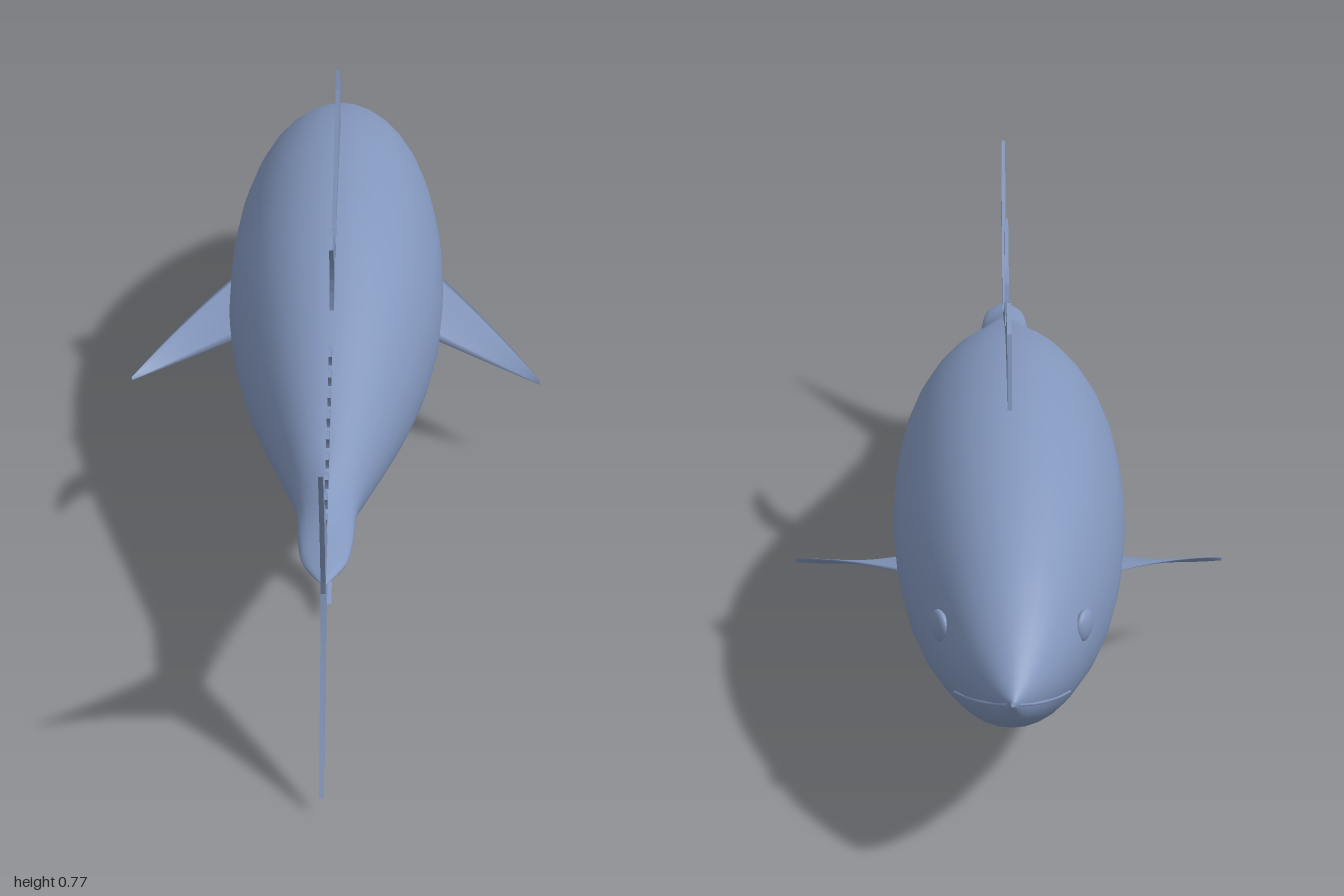
import * as THREE from 'three';

const skin = new THREE.MeshStandardMaterial({ color: 0x8296bc, side: THREE.DoubleSide });
skin.name = 'blue grey skin';

// Body stations: z, back height, belly height, half width, height of widest line
const stations = [
  [-1, 0.342, 0.332, 0.004, 0.337], [-0.975, 0.366, 0.296, 0.03, 0.336], [-0.93, 0.4, 0.261, 0.06, 0.335],
  [-0.875, 0.436, 0.228, 0.09, 0.335], [-0.78, 0.487, 0.177, 0.126, 0.335], [-0.6, 0.56, 0.108, 0.176, 0.335],
  [-0.42, 0.6, 0.063, 0.202, 0.335], [-0.25, 0.608, 0.05, 0.21, 0.335], [-0.05, 0.592, 0.07, 0.201, 0.335],
  [0.15, 0.542, 0.125, 0.167, 0.335], [0.35, 0.473, 0.197, 0.118, 0.336], [0.5, 0.423, 0.247, 0.076, 0.338],
  [0.6, 0.394, 0.279, 0.053, 0.339], [0.7, 0.37, 0.31, 0.047, 0.34], [0.77, 0.357, 0.322, 0.036, 0.34],
  [0.83, 0.343, 0.337, 0.004, 0.34],
];

// Smoothly interpolated station at a given z
function section(z) {
  let i = 0;
  while (i < stations.length - 2 && z > stations[i + 1][0]) i++;
  const at = (k) => stations[Math.min(Math.max(k, 0), stations.length - 1)];
  const [a, b, c, d] = [at(i - 1), at(i), at(i + 1), at(i + 2)];
  const h = c[0] - b[0], t = THREE.MathUtils.clamp((z - b[0]) / h, 0, 1);
  return [1, 2, 3, 4].map((k) => {
    const m0 = (c[k] - a[k]) / (c[0] - a[0]) * h, m1 = (d[k] - b[k]) / (d[0] - b[0]) * h;
    const t2 = t * t, t3 = t2 * t;
    return (2 * t3 - 3 * t2 + 1) * b[k] + (t3 - 2 * t2 + t) * m0 + (3 * t2 - 2 * t3) * c[k] + (t3 - t2) * m1;
  });
}

// Point on the body; the section sharpens into side keels near the tail
function bodyPoint(z, angle) {
  const [top, bottom, width, mid] = section(z);
  const c = Math.cos(angle), s = Math.sin(angle);
  const keel = 1 + 1.2 * THREE.MathUtils.smoothstep(z, 0.5, 0.7);
  const x = width * Math.sign(c) * Math.pow(Math.abs(c), keel);
  return new THREE.Vector3(x, mid + s * (s > 0 ? top - mid : mid - bottom), z);
}

// Surface point of one side at a given height
function sidePoint(z, y, side) {
  const [top, bottom, , mid] = section(z);
  const s = THREE.MathUtils.clamp((y - mid) / (y > mid ? top - mid : mid - bottom), -1, 1);
  const p = bodyPoint(z, Math.asin(s));
  p.x *= side;
  return p;
}

function bodyGeometry() {
  const rings = 80, sides = 32, pos = [], index = [];
  for (let i = 0; i <= rings; i++) {
    const t = i / rings;
    const z = -1 + 1.83 * (0.6 * t + 0.4 * t * t * (3 - 2 * t));
    for (let j = 0; j < sides; j++) pos.push(...bodyPoint(z, j / sides * Math.PI * 2).toArray());
  }
  for (let i = 0; i < rings; i++) {
    for (let j = 0; j < sides; j++) {
      const a = i * sides + j, b = i * sides + (j + 1) % sides;
      index.push(a, b, a + sides, b, b + sides, a + sides);
    }
  }
  const g = new THREE.BufferGeometry();
  g.setAttribute('position', new THREE.Float32BufferAttribute(pos, 3));
  g.setIndex(index);
  g.computeVertexNormals();
  return g;
}

// Upright fin drawn as a (z, y) outline
function finGeometry(shape, thickness = 0.008) {
  const g = new THREE.ExtrudeGeometry(shape, { depth: thickness, bevelEnabled: false, curveSegments: 10 });
  return g.translate(0, 0, -thickness / 2).rotateY(-Math.PI / 2);
}

// Thin lens-shaped blade between a leading and a trailing edge curve
function bladeGeometry(lead, trail, thickness) {
  const n = 14, m = 10, pos = [], index = [];
  const normal = new THREE.Vector3().subVectors(lead.getPoint(1), lead.getPoint(0))
    .cross(new THREE.Vector3().subVectors(trail.getPoint(0), lead.getPoint(0))).normalize();
  for (let i = 0; i <= n; i++) {
    const a = lead.getPoint(i / n), b = trail.getPoint(i / n);
    for (let j = 0; j < m; j++) {
      const q = j / m * Math.PI * 2;
      const p = a.clone().lerp(b, (1 - Math.cos(q)) / 2);
      p.addScaledVector(normal, Math.sin(q) * thickness * (1 - 0.8 * i / n));
      pos.push(...p.toArray());
    }
  }
  for (let i = 0; i < n; i++) {
    for (let j = 0; j < m; j++) {
      const a = i * m + j, b = i * m + (j + 1) % m;
      index.push(a, a + m, b, b, a + m, b + m);
    }
  }
  const g = new THREE.BufferGeometry();
  g.setAttribute('position', new THREE.Float32BufferAttribute(pos, 3));
  g.setIndex(index);
  g.computeVertexNormals();
  return g;
}

const curve = (side, ...pts) => new THREE.QuadraticBezierCurve3(
  ...pts.map(([x, y, z]) => new THREE.Vector3(x * side, y, z)));

export function createModel() {
  const model = new THREE.Group();
  model.name = 'fish';
  const add = (name, geometry) => {
    const mesh = new THREE.Mesh(geometry, skin);
    mesh.name = name;
    model.add(mesh);
    return mesh;
  };

  add('body', bodyGeometry());

  // Forked tail
  const tail = new THREE.Shape();
  tail.moveTo(0.7, 0.345);
  tail.lineTo(0.74, 0.385);
  tail.quadraticCurveTo(0.87, 0.5, 1, 0.655);
  tail.quadraticCurveTo(0.89, 0.47, 0.86, 0.342);
  tail.quadraticCurveTo(0.89, 0.22, 1, 0.03);
  tail.quadraticCurveTo(0.85, 0.17, 0.74, 0.3);
  add('tailFin', finGeometry(tail));

  // First dorsal fin with a notched rear edge
  const dorsal = new THREE.Shape();
  dorsal.moveTo(-0.4, 0.57);
  dorsal.lineTo(-0.415, 0.6);
  dorsal.quadraticCurveTo(-0.395, 0.66, -0.37, 0.725);
  dorsal.lineTo(-0.32, 0.765);
  const notches = 11;
  for (let i = 1; i <= notches; i++) {
    const t = i / notches, z = -0.32 + 0.4 * t;
    const y = 0.755 - 0.17 * Math.pow(t, 0.85);
    dorsal.lineTo(z - 0.022, y - 0.008);
    dorsal.lineTo(z, y + 0.004);
  }
  dorsal.lineTo(0.08, 0.55);
  add('firstDorsalFin', finGeometry(dorsal));

  // Sickle-shaped second dorsal and anal fins
  const second = new THREE.Shape();
  second.moveTo(0.12, 0.52);
  second.bezierCurveTo(0.13, 0.67, 0.22, 0.72, 0.325, 0.703);
  second.bezierCurveTo(0.24, 0.67, 0.195, 0.62, 0.215, 0.49);
  add('secondDorsalFin', finGeometry(second));

  const anal = new THREE.Shape();
  anal.moveTo(0.245, 0.19);
  anal.bezierCurveTo(0.26, 0.06, 0.33, 0.015, 0.435, 0.033);
  anal.bezierCurveTo(0.35, 0.065, 0.325, 0.11, 0.335, 0.22);
  add('analFin', finGeometry(anal));

  // Rows of finlets along back and belly
  for (const [name, up, start, count] of [['upperFinlet', 1, 0.3, 9], ['lowerFinlet', -1, 0.36, 8]]) {
    for (let i = 0; i < count; i++) {
      const z = start + i * 0.046, size = 1 - 0.045 * i;
      const edge = (at) => section(at)[up > 0 ? 0 : 1];
      const s = new THREE.Shape();
      s.moveTo(z, edge(z) - up * 0.008);
      s.quadraticCurveTo(z + 0.02, edge(z) + up * 0.034 * size, z + 0.07 * size, edge(z) + up * 0.024 * size);
      s.quadraticCurveTo(z + 0.035, edge(z) + up * 0.012, z + 0.035, edge(z + 0.035) - up * 0.008);
      add(name, finGeometry(s, 0.006));
    }
  }

  for (const side of [1, -1]) {
    const label = side > 0 ? 'left' : 'right';
    // Pectoral and pelvic fins
    add(label + 'PectoralFin', bladeGeometry(
      curve(side, [0.185, 0.288, -0.415], [0.3, 0.25, -0.27], [0.404, 0.182, -0.13]),
      curve(side, [0.18, 0.232, -0.22], [0.29, 0.195, -0.19], [0.402, 0.175, -0.13]), 0.006));
    add(label + 'PelvicFin', bladeGeometry(
      curve(side, [0.045, 0.075, -0.36], [0.06, 0.04, -0.31], [0.085, 0, -0.23]),
      curve(side, [0.045, 0.07, -0.26], [0.06, 0.035, -0.26], [0.084, 0, -0.228]), 0.004));

    // Eye set nearly flush into the head
    const eye = add(label + 'Eye', new THREE.SphereGeometry(0.028, 20, 14));
    eye.position.copy(sidePoint(-0.79, 0.372, side));
    eye.scale.x = 0.4;
    eye.rotation.y = side * 0.45;

    // Lip line
    const lip = [[-0.995, 0.334], [-0.96, 0.318], [-0.92, 0.302], [-0.87, 0.284], [-0.83, 0.27]]
      .map(([z, y]) => sidePoint(z, y, side));
    add(label + 'Lip', new THREE.TubeGeometry(new THREE.CatmullRomCurve3(lip), 20, 0.003, 6));
  }
  return model;
}
